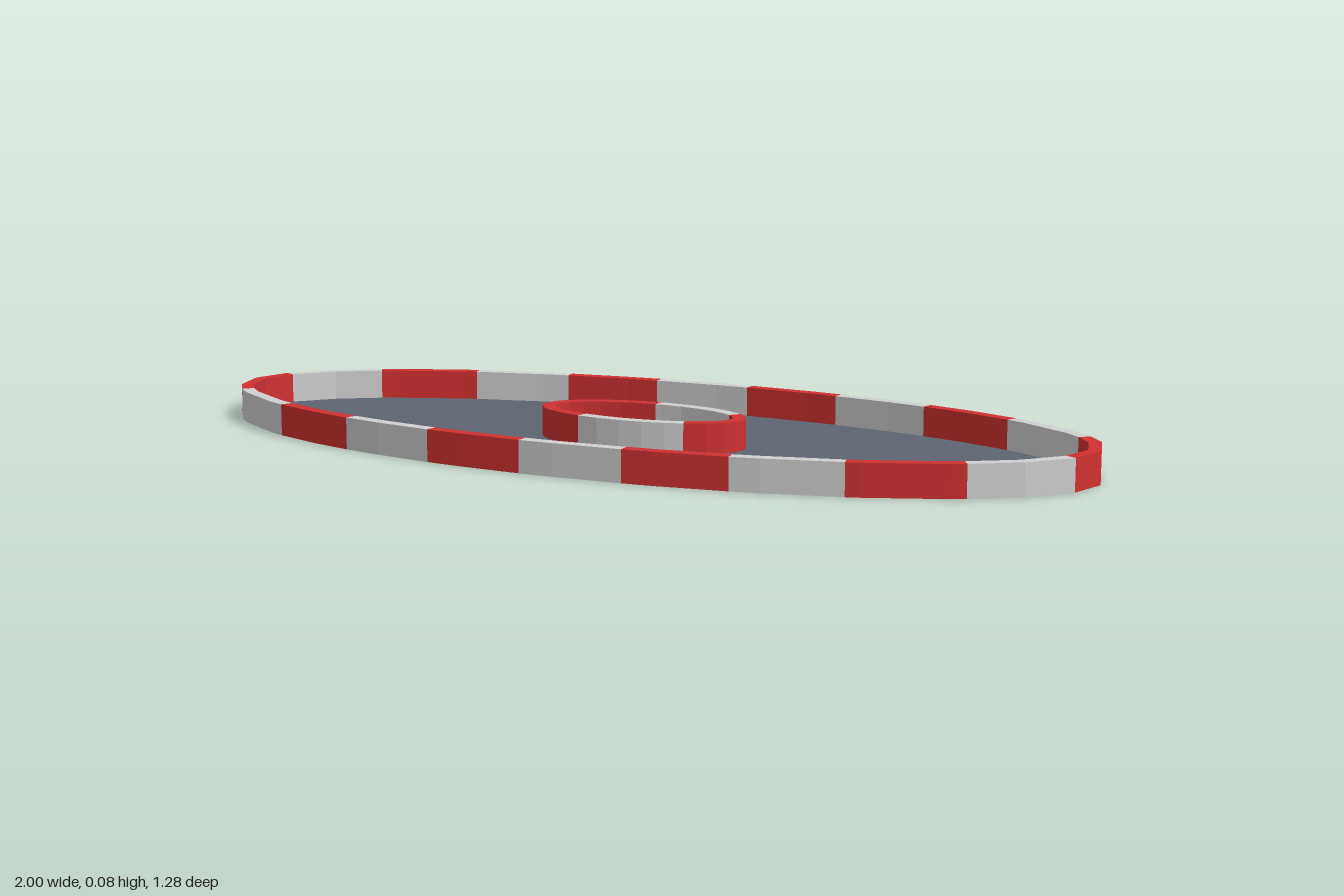
import * as THREE from 'three';

const STEP = Math.PI * 2 / 28;   // outline step of each ellipse
const TILT = 0.473;              // turn of the long axis in plan
const KERB_WIDTH = 0.03;
const KERB_HEIGHT = 0.075;

const mat = (name, color, side = THREE.FrontSide) =>
  Object.assign(new THREE.MeshStandardMaterial({ color, side }), { name });

// Point on a tilted ellipse, moved inwards along its normal (plan: x, -z)
function ellipsePoint(a, b, index, inset = 0) {
  const t = index * STEP, c = Math.cos(t), s = Math.sin(t);
  const n = new THREE.Vector2(b * c, a * s).normalize();
  const p = a * c - inset * n.x, q = b * s - inset * n.y;
  const ct = Math.cos(TILT), st = Math.sin(TILT);
  return new THREE.Vector2(p * ct + q * st, p * st - q * ct);
}

// Whole outline steps between two cuts, with the cuts themselves
function steps(from, to) {
  const list = [from];
  for (let i = Math.floor(from) + 1; i < to - 0.05; i++) if (i - from > 0.05) list.push(i);
  list.push(to);
  return list;
}

// Curved kerb stone between two cuts
function kerbStone(a, b, from, to, material, name) {
  const idx = steps(from, to);
  const outer = idx.map(i => ellipsePoint(a, b, i));
  const inner = idx.map(i => ellipsePoint(a, b, i, KERB_WIDTH)).reverse();
  const geo = new THREE.ExtrudeGeometry(new THREE.Shape([...outer, ...inner]),
    { depth: KERB_HEIGHT, bevelEnabled: false });
  geo.rotateX(-Math.PI / 2);
  const mesh = new THREE.Mesh(geo, material);
  mesh.name = name;
  return mesh;
}

// Closed outline through the middle of a kerb
function outline(a, b) {
  return Array.from({ length: 28 }, (_, i) => ellipsePoint(a, b, i, KERB_WIDTH * 0.6));
}

function sheet(shape, y, material, name) {
  const geo = new THREE.ShapeGeometry(shape);
  geo.rotateX(-Math.PI / 2);
  const mesh = new THREE.Mesh(geo, material);
  mesh.position.y = y;
  mesh.name = name;
  return mesh;
}

export function createModel() {
  const red = mat('kerb red', 0xd03131);
  const white = mat('kerb white', 0xd0d0d0);
  const asphalt = mat('asphalt grey', 0x5d6370, THREE.DoubleSide);
  const grass = mat('grass green', 0x7ab070, THREE.DoubleSide);

  const model = new THREE.Group();
  model.name = 'trafficIsland';
  const big = [1.1, 0.447], small = [0.259, 0.129];

  // Road surface with a hole for the island
  const road = new THREE.Shape(outline(...big));
  road.holes.push(new THREE.Path(outline(...small)));
  model.add(sheet(road, 0.004, asphalt, 'roadSurface'));
  model.add(sheet(new THREE.Shape(outline(...small)), 0.004, grass, 'grassIsland'));

  // Outer kerb: ten stones, repeated on the opposite half
  const outerKerb = new THREE.Group();
  outerKerb.name = 'outerKerb';
  const cuts = [1, 2.81, 4.17, 5.3, 6.32, 7.34, 8.36, 9.46, 10.71, 12.42, 15];
  for (const half of [0, 14]) {
    for (let i = 0; i < 10; i++) {
      outerKerb.add(kerbStone(...big, cuts[i] + half, cuts[i + 1] + half,
        i % 2 ? red : white, 'outerKerbStone'));
    }
  }
  model.add(outerKerb);

  // Inner kerb: five stones, two red ones meeting at the left tip
  const innerKerb = new THREE.Group();
  innerKerb.name = 'innerKerb';
  const innerCuts = [-2.45, 4.15, 8.97, 15, 20.73, 25.55];
  [red, white, red, red, white].forEach((m, i) =>
    innerKerb.add(kerbStone(...small, innerCuts[i], innerCuts[i + 1], m, 'innerKerbStone')));
  model.add(innerKerb);

  return model;
}
